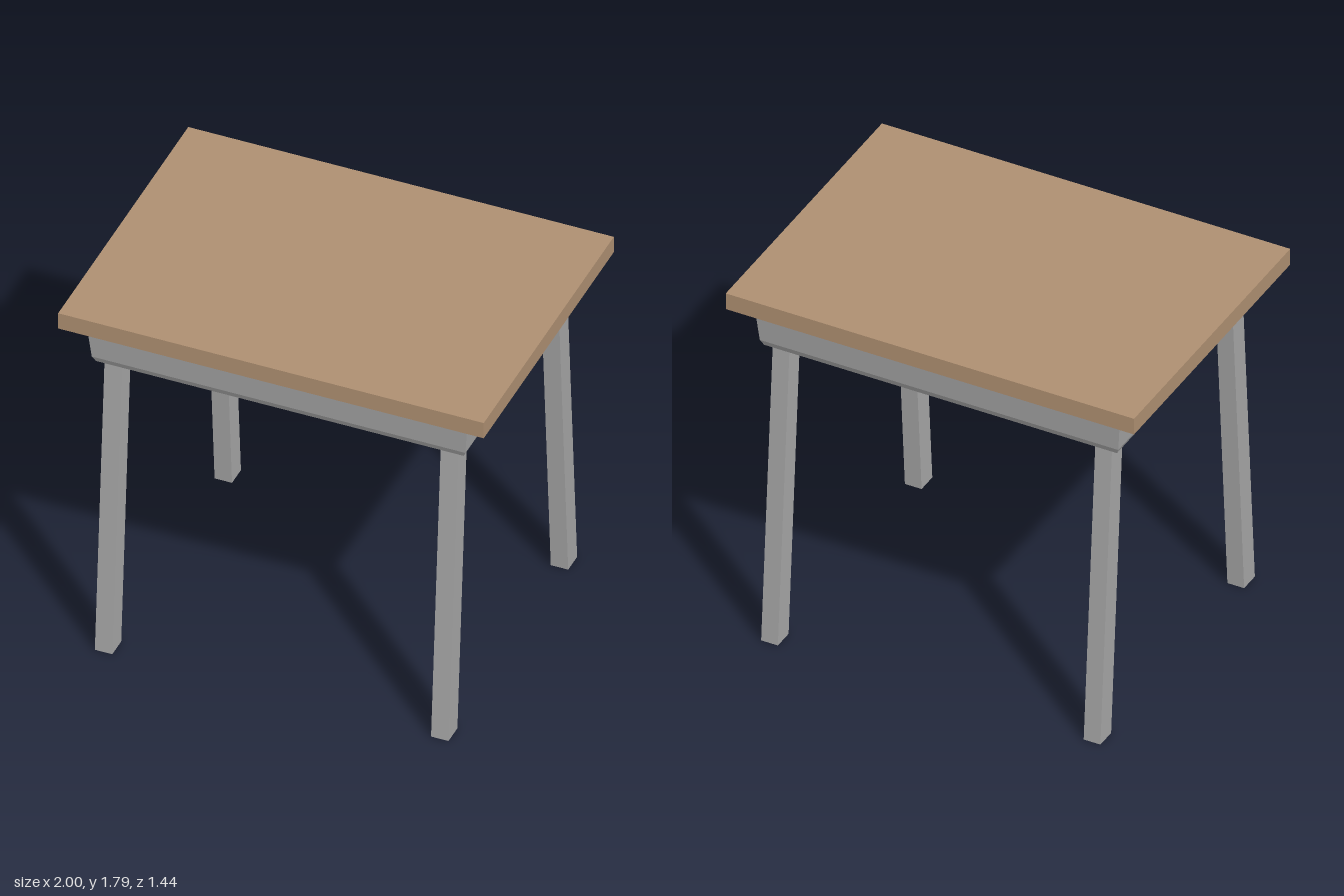
import * as THREE from 'three';

// Closed solid through rectangular sections [y, x0, x1, z0, z1], listed bottom to top
function loft(sections) {
  const pos = [];
  const idx = [];
  for (const [y, x0, x1, z0, z1] of sections) {
    pos.push(x0, y, z1, x1, y, z1, x1, y, z0, x0, y, z0);
  }
  for (let s = 0; s < sections.length - 1; s++) {
    for (let i = 0; i < 4; i++) {
      const a = s * 4 + i, b = s * 4 + (i + 1) % 4;
      idx.push(a, b, b + 4, a, b + 4, a + 4);
    }
  }
  const t = (sections.length - 1) * 4;
  idx.push(0, 2, 1, 0, 3, 2, t, t + 1, t + 2, t, t + 2, t + 3);
  const indexed = new THREE.BufferGeometry();
  indexed.setAttribute('position', new THREE.Float32BufferAttribute(pos, 3));
  indexed.setIndex(idx);
  const geometry = indexed.toNonIndexed();
  geometry.computeVertexNormals();
  return geometry;
}

export function createModel() {
  const model = new THREE.Group();
  model.name = 'desk';
  const wood = new THREE.MeshStandardMaterial({ name: 'wood', color: 0xae8f71 });
  const metal = new THREE.MeshStandardMaterial({ name: 'grey metal', color: 0xa5a5a5 });

  const add = (name, geometry, material) => {
    const mesh = new THREE.Mesh(geometry, material);
    mesh.name = name;
    model.add(mesh);
    return mesh;
  };

  // Flat wooden top
  add('tableTop', new THREE.BoxGeometry(2, 0.083, 1.44), wood).position.y = 1.747;

  // Tapered tray with a rounded lower edge
  const tray = [[1.486, 0.834, 0.604], [1.5, 0.864, 0.622], [1.53, 0.878, 0.636], [1.706, 0.895, 0.652]];
  add('tray', loft(tray.map(([y, x, z]) => [y, -x, x, -z, z])), metal);

  // Four legs, splayed towards front and back
  for (const [side, sx] of [['Left', 1], ['Right', -1]]) {
    for (const [end, sz] of [['front', 1], ['back', -1]]) {
      const section = (y, inner, outer) => [
        y, sx * 0.79 - 0.041, sx * 0.79 + 0.041,
        Math.min(sz * inner, sz * outer), Math.max(sz * inner, sz * outer),
      ];
      add(`${end}${side}Leg`, loft([section(0, 0.613, 0.712), section(1.5, 0.508, 0.605)]), metal);
    }
  }
  return model;
}
